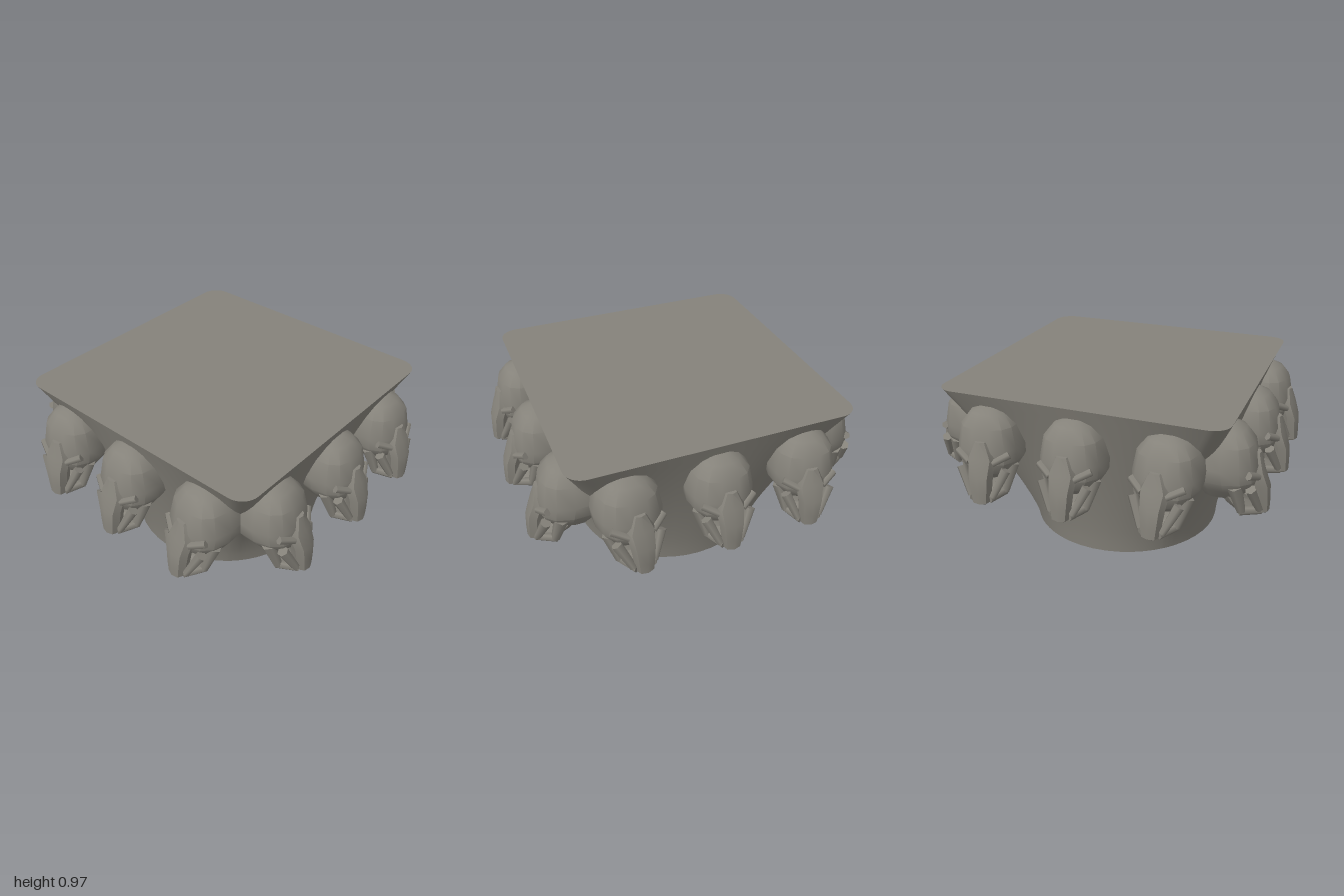
import * as THREE from 'three';
import { toCreasedNormals } from 'three/addons/utils/BufferGeometryUtils.js';

const stone = new THREE.MeshStandardMaterial({ color: 0x85827a, side: THREE.DoubleSide });
stone.name = 'grey stone';

// Skin a stack of equal rings, listed from top to bottom, with optional end caps
function loft(rings, capTop, capBottom, crease) {
  const n = rings[0].length, pos = [], idx = [];
  rings.forEach(r => r.forEach(p => pos.push(p[0], p[1], p[2])));
  for (let i = 0; i < rings.length - 1; i++) {
    for (let j = 0; j < n; j++) {
      const a = i * n + j, b = i * n + (j + 1) % n;
      idx.push(a, b, a + n, b, b + n, a + n);
    }
  }
  const cap = (ring, start, up) => {
    const c = pos.length / 3;
    for (let k = 0; k < 3; k++) pos.push(ring.reduce((s, p) => s + p[k], 0) / n);
    for (let j = 0; j < n; j++) {
      const a = start + j, b = start + (j + 1) % n;
      if (up) idx.push(c, b, a); else idx.push(c, a, b);
    }
  };
  if (capTop) cap(rings[0], 0, true);
  if (capBottom) cap(rings[rings.length - 1], (rings.length - 1) * n, false);
  const g = new THREE.BufferGeometry();
  g.setAttribute('position', new THREE.Float32BufferAttribute(pos, 3));
  g.setIndex(idx);
  return toCreasedNormals(g, crease);
}

// Rings given as [y, half width, back z, front z], slightly squared
function sectionLoft(sections, sides, crease = 0.6) {
  const sq = v => Math.sign(v) * Math.pow(Math.abs(v), 0.8);
  const rings = sections.map(([y, w, z0, z1]) => Array.from({ length: sides }, (_, j) => {
    const a = (j / sides) * Math.PI * 2;
    return [w * sq(Math.cos(a)), y, (z0 + z1) / 2 + ((z1 - z0) / 2) * sq(Math.sin(a))];
  }));
  return loft(rings, true, true, crease);
}

// Bell of the capital: rounded square on top easing to a circle at the foot
function bellGeometry() {
  const H = 0.97, half = 0.805, r = 0.1, foot = 0.57, outline = [];
  for (let q = 0; q < 4; q++) {
    const a0 = q * Math.PI / 2, c = half - r;
    const cx = c * (q === 0 || q === 3 ? 1 : -1), cz = c * (q < 2 ? 1 : -1);
    for (let i = 0; i <= 8; i++) {
      const a = a0 + (i / 8) * Math.PI / 2;
      outline.push([cx + r * Math.cos(a), cz + r * Math.sin(a)]);
    }
    // straight run to the next corner
    const [ex, ez] = outline[outline.length - 1];
    const a1 = a0 + Math.PI / 2;
    for (let i = 1; i < 12; i++) {
      const d = (2 * c * i) / 12;
      outline.push([ex - Math.sin(a1) * d, ez + Math.cos(a1) * d]);
    }
  }
  const rings = [];
  for (let i = 0; i <= 14; i++) {
    const y = H * (1 - i / 14), t = Math.pow(y / H, 1.3);
    rings.push(outline.map(([x, z]) => {
      const k = foot / Math.hypot(x, z);
      return [x * (t + k * (1 - t)), y, z * (t + k * (1 - t))];
    }));
  }
  return loft(rings, true, false, 0.7);
}

// Faceted bar between two points
function barGeometry(a, b, ra, rb) {
  const p = new THREE.Vector3(...a), q = new THREE.Vector3(...b), d = q.clone().sub(p);
  const g = new THREE.CylinderGeometry(rb, ra, d.length(), 6);
  g.applyQuaternion(new THREE.Quaternion().setFromUnitVectors(new THREE.Vector3(0, 1, 0), d.normalize()));
  const m = p.add(q).multiplyScalar(0.5);
  return g.translate(m.x, m.y, m.z);
}

const PIVOT = 0.74;

// Elephant head, facing +z
function makeHead() {
  const head = new THREE.Group();
  const add = (name, geo) => {
    const m = new THREE.Mesh(geo.translate(0, 0, -PIVOT), stone);
    m.name = name;
    head.add(m);
  };
  add('skull', sectionLoft([
    [0.91, 0.05, 0.71, 0.80], [0.885, 0.105, 0.64, 0.855], [0.82, 0.157, 0.59, 0.905],
    [0.70, 0.18, 0.56, 0.93], [0.63, 0.175, 0.58, 0.935], [0.57, 0.135, 0.61, 0.915],
    [0.51, 0.085, 0.65, 0.84],
  ], 14));
  add('trunk', sectionLoft([
    [0.76, 0.035, 0.86, 0.935], [0.67, 0.08, 0.86, 0.962], [0.58, 0.068, 0.885, 0.995],
    [0.49, 0.057, 0.90, 1.0], [0.43, 0.048, 0.91, 1.0], [0.42, 0.035, 0.92, 0.985],
  ], 8));
  add('lowerJaw', sectionLoft([
    [0.54, 0.10, 0.72, 0.84], [0.48, 0.085, 0.77, 0.86], [0.43, 0.065, 0.82, 0.93],
  ], 8));
  for (const s of [1, -1]) {
    // tusk drops from the cheek, then runs forward to the trunk tip
    add('tusk', barGeometry([s * 0.13, 0.61, 0.82], [s * 0.092, 0.45, 0.86], 0.04, 0.024));
    add('tuskTip', barGeometry([s * 0.092, 0.452, 0.85], [s * 0.045, 0.445, 0.96], 0.026, 0.022));
    add('cheekFold', barGeometry([s * 0.125, 0.60, 0.90], [s * 0.06, 0.455, 0.95], 0.03, 0.02));
    add('brow', barGeometry([s * 0.145, 0.685, 0.885], [s * 0.065, 0.645, 0.93], 0.022, 0.02));
  }
  return head;
}

export function createModel() {
  const model = new THREE.Group();
  model.name = 'capital';
  const bell = new THREE.Mesh(bellGeometry(), stone);
  bell.name = 'bell';
  model.add(bell);

  // Three heads on each of the four sides, the outer ones turned slightly inward
  for (let side = 0; side < 4; side++) {
    const row = new THREE.Group();
    row.name = 'headRow';
    row.rotation.y = side * Math.PI / 2;
    for (const k of [-1, 0, 1]) {
      const head = makeHead();
      head.name = 'elephantHead';
      head.position.set(k * 0.505, k ? -0.008 : 0, PIVOT - (k ? 0.018 : 0));
      head.rotation.y = -k * 0.12;
      row.add(head);
    }
    model.add(row);
  }
  return model;
}
